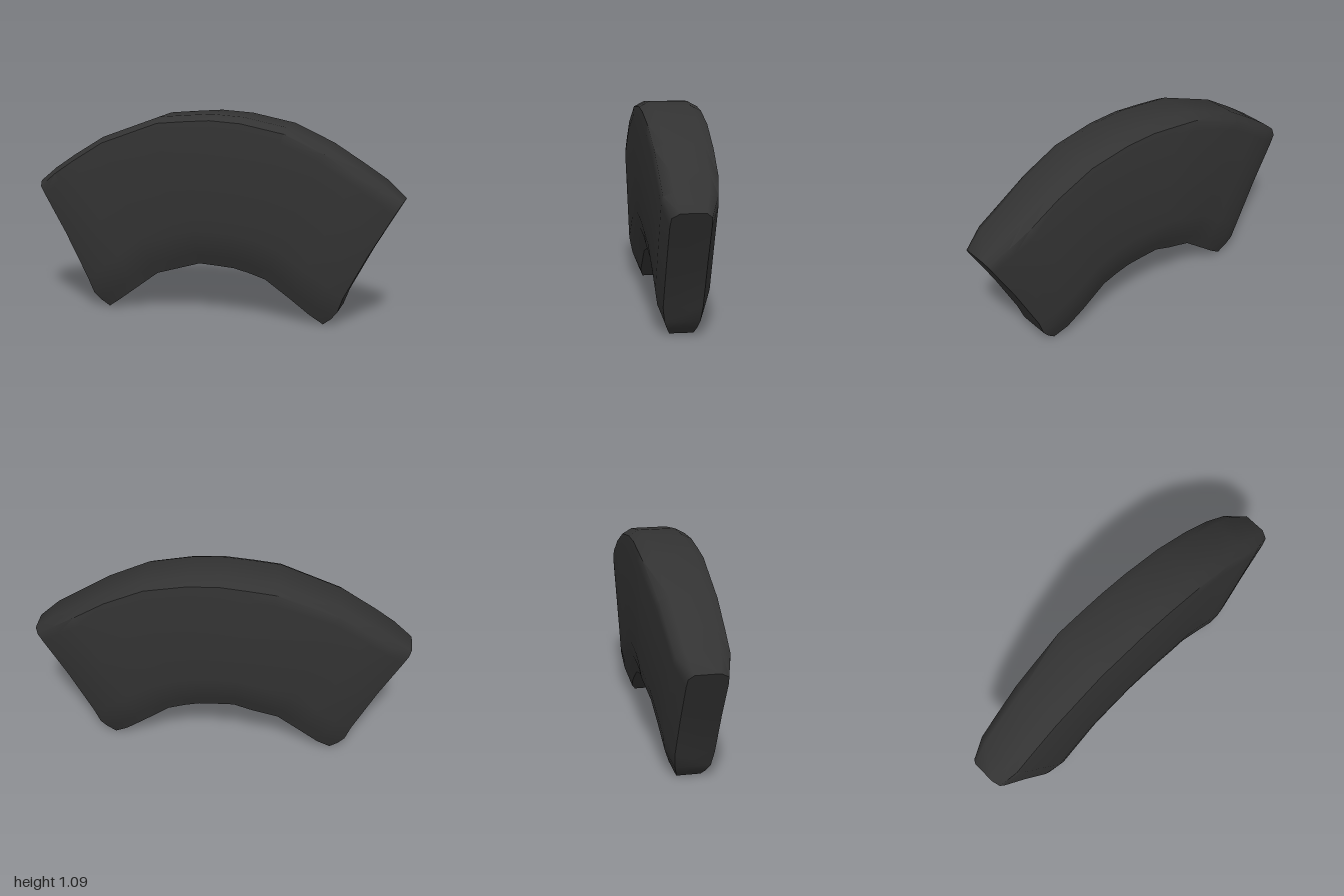
import * as THREE from 'three';
import { toCreasedNormals } from 'three/addons/utils/BufferGeometryUtils.js';

// Stations along the arc, +x end to -x end:
// inner x, inner y, outer x, outer y, front z, back z, foot bulge
const STATIONS = [
  [0.60, 0.005, 1.00, 0.68, 0.115, -0.08, 1],
  [0.53, 0.055, 0.90, 0.765, 0.143, -0.125, 0.3],
  [0.43, 0.13, 0.78, 0.84, 0.145, -0.145, 0],
  [0.29, 0.23, 0.61, 0.945, 0.15, -0.15, 0],
  [0.20, 0.26, 0.40, 1.04, 0.158, -0.153, 0],
  [0.12, 0.28, 0.17, 1.085, 0.16, -0.157, 0],
  [0.02, 0.287, 0.00, 1.095, 0.16, -0.16, 0],
  [-0.07, 0.292, -0.15, 1.083, 0.16, -0.163, 0],
  [-0.16, 0.265, -0.29, 1.07, 0.158, -0.165, 0],
  [-0.31, 0.22, -0.61, 0.95, 0.155, -0.145, 0],
  [-0.43, 0.13, -0.78, 0.845, 0.152, -0.13, 0],
  [-0.53, 0.055, -0.89, 0.77, 0.15, -0.12, 0.3],
  [-0.60, 0.005, -0.99, 0.69, 0.12, -0.08, 1],
];

// Half section from inner to outer edge: fraction, share of depth, foot bulge
const SECTION = [
  [0, 0.62, 0], [0.07, 0.76, 0.02], [0.14, 0.9, 0.028], [0.25, 1, 0.013],
  [0.6, 1, 0], [0.9, 1, 0], [0.965, 0.96, 0], [1, 0.62, 0],
];

function arcGeometry() {
  const positions = [], index = [];
  const half = SECTION.length, n = half * 2;
  for (const [ix, iy, ox, oy, front, back, bulge] of STATIONS) {
    const dx = ox - ix, dy = oy - iy, len = Math.hypot(dx, dy);
    const side = Math.sign(ix); // bulge points away from the arch centre
    const add = ([t, depth, push], z) => positions.push(
      ix + dx * t + side * push * bulge * dy / len,
      iy + dy * t - side * push * bulge * dx / len,
      z * depth);
    SECTION.forEach(p => add(p, front));
    [...SECTION].reverse().forEach(p => add(p, back));
  }
  // Skin between stations
  for (let s = 0; s < STATIONS.length - 1; s++) {
    for (let i = 0; i < n; i++) {
      const a = s * n + i, b = s * n + (i + 1) % n;
      index.push(a, b, a + n, b, b + n, a + n);
    }
  }
  // End faces, as strips from front edge to back edge
  const last = (STATIONS.length - 1) * n;
  for (let i = 0; i < half - 1; i++) {
    const a = i, b = i + 1, c = n - 2 - i, d = n - 1 - i;
    index.push(a, c, b, a, d, c);
    index.push(last + a, last + b, last + c, last + a, last + c, last + d);
  }
  const geometry = new THREE.BufferGeometry();
  geometry.setAttribute('position', new THREE.Float32BufferAttribute(positions, 3));
  geometry.setIndex(index);
  return toCreasedNormals(geometry, 0.95);
}

export function createModel() {
  const group = new THREE.Group();
  group.name = 'archSegment';
  const body = new THREE.Mesh(
    arcGeometry(), new THREE.MeshStandardMaterial({ color: 0x333333 }));
  body.name = 'curvedBlock';
  group.add(body);
  return group;
}
